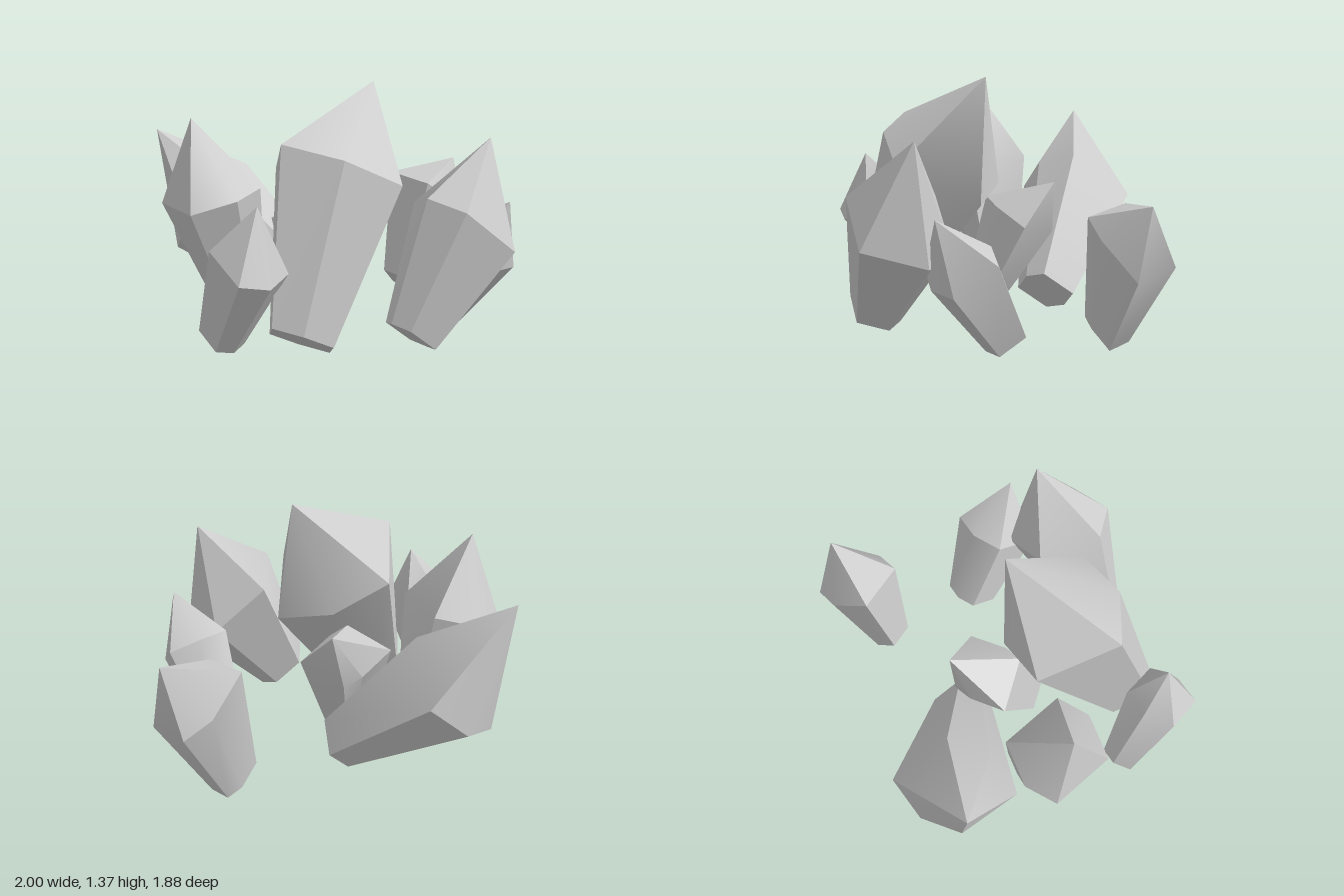
import * as THREE from 'three';
import { toCreasedNormals } from 'three/addons/utils/BufferGeometryUtils.js';

const v = (p) => new THREE.Vector3(...p);

// Six-sided crystal: a narrow foot widens to a shoulder ring, then runs to a point.
// "corners" holds three shoulder offsets; the other three are their mirror images.
function crystal(name, { foot, shoulder, tip, taper = 0.5, corners }) {
  const half = corners.map(v);
  const ring = [...half, ...half.map((c) => c.clone().negate())];
  const low = ring.map((c) => c.clone().multiplyScalar(taper).add(v(foot)));
  const high = ring.map((c) => c.clone().add(v(shoulder)));
  const apex = v(tip);
  const center = v(foot);
  const points = [];
  for (let i = 0; i < 6; i++) {
    const j = (i + 1) % 6;
    points.push(low[i], low[j], high[j], low[i], high[j], high[i]); // side
    points.push(high[i], high[j], apex); // point facet
    points.push(low[j], low[i], center); // foot cap
  }
  const geometry = new THREE.BufferGeometry().setFromPoints(points);
  const mesh = new THREE.Mesh(
    toCreasedNormals(geometry, 0.6),
    new THREE.MeshStandardMaterial({ color: 0xcccccc })
  );
  mesh.name = name;
  return mesh;
}

export function createModel() {
  const group = new THREE.Group();
  group.name = 'crystalCluster';
  group.add(
    // Large crystals
    crystal('mainCrystal', {
      foot: [-0.555, 0.15, 0.47], shoulder: [-0.21, 0.91, 0.25], tip: [0.09, 1.37, 0.12],
      corners: [[0.365, -0.21, -0.07], [0.13, -0.14, -0.285], [-0.18, 0.01, -0.33]],
    }),
    crystal('frontCrystal', {
      foot: [-0.055, 0.155, 0.7], shoulder: [0.275, 0.675, 0.685], tip: [0.45, 1.115, 0.665],
      corners: [[0.265, -0.185, -0.055], [0.15, -0.13, -0.225], [-0.13, 0.095, -0.255]],
    }),
    crystal('backCrystal', {
      foot: [-0.03, 0.14, -0.3], shoulder: [-0.465, 0.605, -0.72], tip: [-0.73, 1.05, -0.85],
      corners: [[0.17, 0.245, 0.105], [0.245, 0, -0.22], [0.03, -0.185, -0.225]],
    }),
    crystal('backRightCrystal', {
      foot: [-0.53, 0.14, -0.22], shoulder: [-0.705, 0.78, -0.22], tip: [-0.805, 1.2, -0.225],
      corners: [[0.2, 0.05, -0.18], [-0.03, -0.01, -0.25], [-0.2, -0.05, -0.18]],
    }),
    // Small crystals
    crystal('smallRightCrystal', {
      foot: [-0.855, 0.145, 0.19], shoulder: [-0.825, 0.585, 0.445], tip: [-0.795, 0.865, 0.48],
      taper: 0.6,
      corners: [[-0.17, 0.06, -0.085], [-0.13, -0.07, 0.145], [0.025, -0.1, 0.17]],
    }),
    crystal('smallLeftCrystal', {
      foot: [0.475, 0.075, 0.2], shoulder: [0.55, 0.485, 0.465], tip: [0.615, 0.755, 0.63],
      taper: 0.62,
      corners: [[0.15, -0.11, 0.105], [0.18, 0.035, -0.12], [0.015, 0.1, -0.155]],
    }),
    crystal('backLeftCrystal', {
      foot: [0.6, 0.085, -0.335], shoulder: [0.79, 0.585, -0.36], tip: [0.975, 0.8, -0.365],
      taper: 0.52,
      corners: [[0.21, -0.155, 0.085], [0.13, -0.12, -0.18], [-0.02, -0.03, -0.185]],
    }),
    crystal('innerCrystal', {
      foot: [-0.2, 0.08, 0.03], shoulder: [-0.1, 0.58, -0.17], tip: [0.04, 0.77, -0.315],
      corners: [[0.23, -0.03, 0.08], [0.08, -0.1, -0.165], [-0.03, -0.06, -0.155]],
    })
  );
  return group;
}
